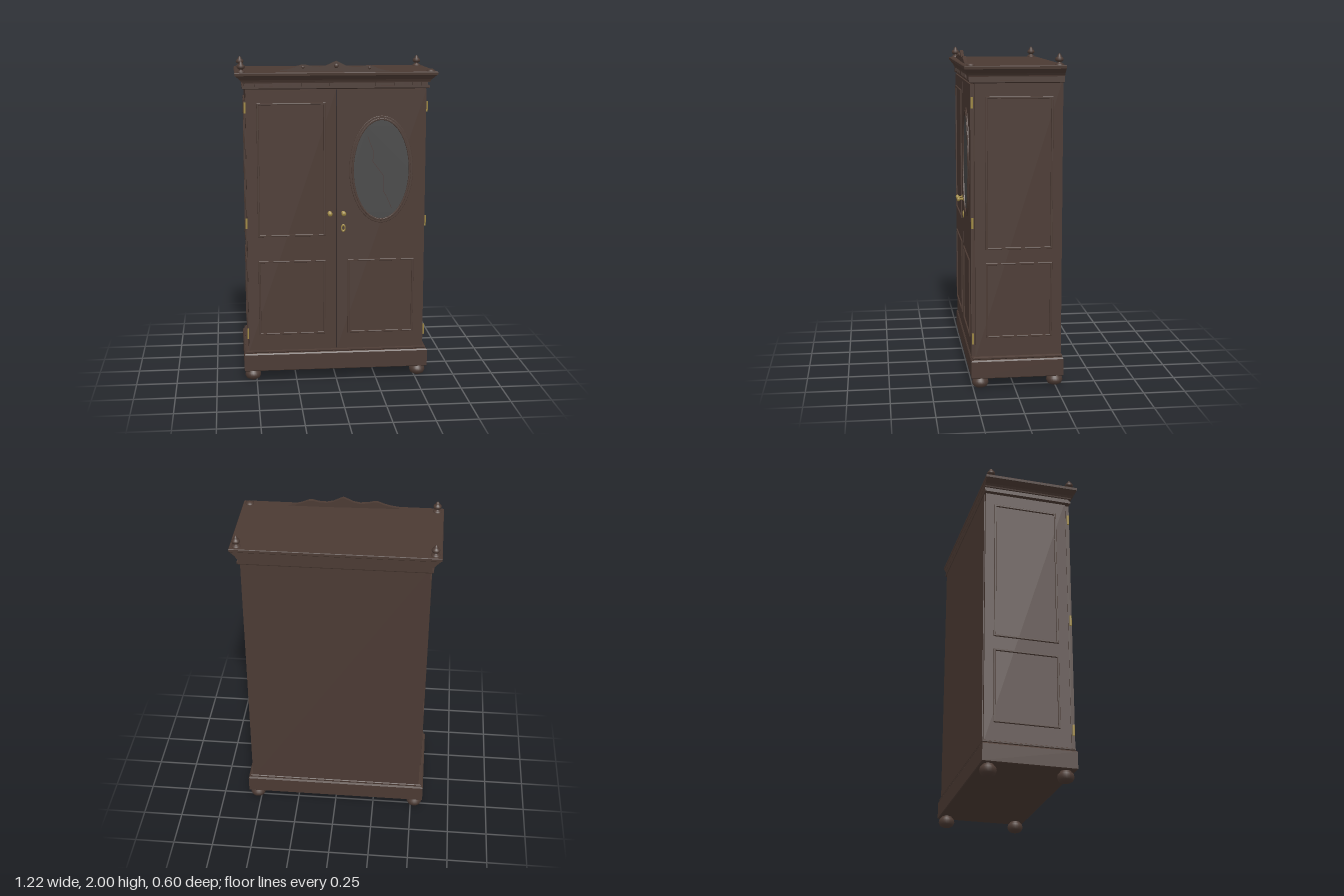
import * as THREE from 'three';

const mat = (name, color) => {
  const m = new THREE.MeshStandardMaterial({ color });
  m.name = name;
  return m;
};

export function createModel() {
  const root = new THREE.Group();
  root.name = 'wardrobe';
  const wood = mat('dark wood', 0x4b3a33);
  const glass = mat('mirror glass', 0x474747);
  const brass = mat('brass', 0xa08a45);
  const crackMat = mat('mirror crack', 0x4a3836);
  const seam = mat('door seam', 0x2a2428);

  const add = (name, geo, material = wood, parent = root) => {
    const m = new THREE.Mesh(geo, material);
    m.name = name;
    parent.add(m);
    return m;
  };
  // Box given by its limits on each axis
  const box = (name, x0, x1, y0, y1, z0, z1, material, parent) => {
    const m = add(name, new THREE.BoxGeometry(x1 - x0, y1 - y0, z1 - z0), material, parent);
    m.position.set((x0 + x1) / 2, (y0 + y1) / 2, (z0 + z1) / 2);
    return m;
  };
  // Stack of rectangular sections [y, halfWidth, front, back], capped at both ends
  const stack = (name, levels) => {
    const p = [];
    const ring = ([y, w, f, b]) => [[-w, y, f], [w, y, f], [w, y, b], [-w, y, b]];
    const quad = (a, b, c, d) => p.push(...a, ...b, ...c, ...a, ...c, ...d);
    const rings = levels.map(ring);
    for (let i = 0; i + 1 < rings.length; i++)
      for (let k = 0; k < 4; k++) {
        const n = (k + 1) % 4;
        quad(rings[i][k], rings[i][n], rings[i + 1][n], rings[i + 1][k]);
      }
    quad(...rings[rings.length - 1]);
    quad(...[...rings[0]].reverse());
    const g = new THREE.BufferGeometry();
    g.setAttribute('position', new THREE.Float32BufferAttribute(p, 3));
    g.computeVertexNormals();
    return add(name, g);
  };
  const lathe = (pts, seg = 24) =>
    new THREE.LatheGeometry(pts.map(([r, y]) => new THREE.Vector2(r, y)), seg);
  const rect = (C, w, h) => {
    const s = new C();
    s.moveTo(-w / 2, -h / 2);
    s.lineTo(w / 2, -h / 2);
    s.lineTo(w / 2, h / 2);
    s.lineTo(-w / 2, h / 2);
    s.closePath();
    return s;
  };
  // Raised rectangular moulding around a panel, facing +z
  const frame = (w, h, t = 0.007) => {
    const s = rect(THREE.Shape, w - 0.006, h - 0.006);
    s.holes.push(rect(THREE.Path, w - 0.006 - 2 * t, h - 0.006 - 2 * t));
    return new THREE.ExtrudeGeometry(s, {
      depth: 0.005, bevelThickness: 0.004, bevelSize: 0.003, bevelSegments: 2,
    });
  };

  // Carcass and back board
  box('carcass', -0.548, 0.548, 0.19, 1.85, -0.281, 0.234);
  box('backBoard', -0.53, 0.53, 0.2, 1.83, -0.286, -0.28);

  // Plinth with stepped moulding
  stack('plinth', [
    [0.067, 0.573, 0.258, -0.291], [0.071, 0.577, 0.262, -0.295],
    [0.172, 0.577, 0.262, -0.295], [0.18, 0.57, 0.256, -0.29],
    [0.182, 0.562, 0.25, -0.286], [0.187, 0.566, 0.256, -0.288],
    [0.194, 0.566, 0.256, -0.288], [0.199, 0.556, 0.24, -0.284],
  ]);

  // Bun feet
  const footGeo = lathe([[0, 0], [0.025, 0.002], [0.042, 0.012], [0.05, 0.031],
    [0.046, 0.048], [0.034, 0.061], [0.03, 0.07]]);
  for (const x of [-0.523, 0.523])
    for (const z of [0.205, -0.248]) add('bunFoot', footGeo).position.set(x, 0, z);

  // Frieze and flared crown
  stack('frieze', [[1.828, 0.556, 0.255, -0.286], [1.834, 0.566, 0.265, -0.289],
    [1.845, 0.566, 0.265, -0.289], [1.845, 0.556, 0.254, -0.289],
    [1.868, 0.556, 0.254, -0.289]]);
  stack('crown', [[1.866, 0.566, 0.266, -0.29], [1.873, 0.568, 0.268, -0.29],
    [1.885, 0.577, 0.274, -0.29], [1.898, 0.591, 0.284, -0.29],
    [1.908, 0.602, 0.292, -0.29], [1.911, 0.608, 0.296, -0.292],
    [1.926, 0.61, 0.298, -0.292], [1.93, 0.606, 0.294, -0.29]]);

  // Dentils, with two missing
  for (let i = 0; i < 20; i++) {
    if (i === 12 || i === 15) continue;
    const x = -0.532 + i * 0.056;
    box('dentil', x - 0.016, x + 0.016, 1.845, 1.867, 0.25, 0.265);
  }

  // Finials; the front one at +x is broken off to its base
  const stump = [[0.026, 0], [0.026, 0.007], [0.018, 0.011], [0.012, 0.016]];
  const finialGeo = lathe([...stump, [0.012, 0.02], [0.022, 0.026], [0.025, 0.035],
    [0.021, 0.044], [0.012, 0.05], [0.013, 0.054], [0.008, 0.062], [0, 0.07]]);
  const stumpGeo = lathe([...stump, [0, 0.016]]);
  for (const x of [-0.57, 0.57])
    for (const z of [0.257, -0.254]) {
      const broken = x > 0 && z > 0;
      add(broken ? 'finialStump' : 'finial', broken ? stumpGeo : finialGeo).position.set(x, 1.929, z);
    }

  // Scrolled crest, slightly tilted
  const crest = new THREE.Group();
  crest.name = 'crest';
  crest.position.set(-0.003, 1.932, 0.252);
  crest.rotation.z = -0.016;
  root.add(crest);
  const half = [[0, 0.064], [0.025, 0.053], [0.06, 0.036], [0.1, 0.028], [0.15, 0.031],
    [0.185, 0.04], [0.21, 0.039], [0.25, 0.023], [0.29, 0.012], [0.335, 0.006]];
  const outline = [...half].reverse().map(([x, y]) => [-x, y]).concat(half.slice(1));
  const cs = new THREE.Shape([[-0.335, 0], ...outline, [0.335, 0]].map(([x, y]) => new THREE.Vector2(x, y)));
  add('crestBoard', new THREE.ExtrudeGeometry(cs, { depth: 0.02, bevelEnabled: false }), wood, crest);
  for (const [x, y, r] of [[0, 0.035, 0.014], [-0.2, 0.025, 0.009], [0.2, 0.025, 0.009]]) {
    const b = add('crestBoss', new THREE.SphereGeometry(r, 16, 10), wood, crest);
    b.position.set(x, y, 0.02);
    b.scale.z = 0.6;
  }

  // Doors, seam, panels, hinges and knobs, mirrored
  box('doorSeam', -0.004, 0.004, 0.2, 1.822, 0.233, 0.238, seam);
  const knobGeo = lathe([[0.013, 0], [0.013, 0.004], [0.006, 0.007], [0.005, 0.022],
    [0.012, 0.027], [0.015, 0.034], [0.011, 0.041], [0, 0.044]], 16);
  const hingeGeo = new THREE.CylinderGeometry(0.007, 0.007, 0.065, 12);
  for (const s of [-1, 1]) {
    const side = s < 0 ? 'right' : 'left';
    const [a, b] = [0.003 * s, 0.546 * s].sort((p, q) => p - q);
    box(side + 'Door', a, b, 0.202, 1.822, 0.236, 0.259);
    add(side + 'DoorLowerPanel', frame(0.414, 0.474)).position.set(0.275 * s, 0.54, 0.258);
    for (const y of [0.31, 1.012, 1.718]) add(side + 'Hinge', hingeGeo, brass).position.set(0.55 * s, y, 0.25);
    const knob = add(side + 'Knob', knobGeo, brass);
    knob.position.set(0.042 * s, 1.07, 0.258);
    knob.rotation.x = Math.PI / 2;
    // Side panels, upper and lower
    for (const [y0, y1] of [[0.312, 0.77], [0.85, 1.752]]) {
      const p = add(side + 'SidePanel', frame(0.397, y1 - y0));
      p.position.set(0.547 * s, (y0 + y1) / 2, -0.027);
      p.rotation.y = s * Math.PI / 2;
    }
  }
  add('rightDoorUpperPanel', frame(0.414, 0.82)).position.set(-0.275, 1.338, 0.258);

  // Oval mirror: stepped frame, glass and crack
  const mirror = new THREE.Group();
  mirror.name = 'ovalMirror';
  mirror.position.set(0.274, 1.336, 0.258);
  root.add(mirror);
  const oval = (rx, ry, hx, hy, depth, bevel) => {
    const s = new THREE.Shape();
    s.absellipse(0, 0, rx - bevel, ry - bevel, 0, Math.PI * 2);
    const h = new THREE.Path();
    h.absellipse(0, 0, hx + bevel, hy + bevel, 0, Math.PI * 2);
    s.holes.push(h);
    return new THREE.ExtrudeGeometry(s, {
      depth, curveSegments: 48, bevelThickness: bevel, bevelSize: bevel, bevelSegments: 2,
    });
  };
  add('mirrorFrame', oval(0.196, 0.33, 0.169, 0.303, 0.004, 0.003), wood, mirror);
  add('mirrorFrameInner', oval(0.182, 0.316, 0.169, 0.303, 0.008, 0.003), wood, mirror);
  const gs = new THREE.Shape();
  gs.absellipse(0, 0, 0.174, 0.308, 0, Math.PI * 2);
  add('mirrorGlass', new THREE.ShapeGeometry(gs, 48), glass, mirror).position.z = 0.003;
  const path = [[-0.085, 0.205], [-0.05, 0.115], [-0.052, 0.05], [0.012, -0.035],
    [0.012, -0.13], [0.035, -0.17], [0.065, -0.24]];
  for (let i = 0; i + 1 < path.length; i++) {
    const [x0, y0] = path[i], [x1, y1] = path[i + 1];
    const c = add('mirrorCrack', new THREE.PlaneGeometry(0.003, Math.hypot(x1 - x0, y1 - y0)), crackMat, mirror);
    c.position.set((x0 + x1) / 2, (y0 + y1) / 2, 0.0045);
    c.rotation.z = Math.atan2(x0 - x1, y1 - y0);
  }

  // Keyhole plate
  const key = add('keyholePlate', new THREE.TorusGeometry(0.011, 0.004, 8, 20), brass);
  key.position.set(0.042, 0.975, 0.26);
  key.scale.y = 1.7;

  return root;
}
